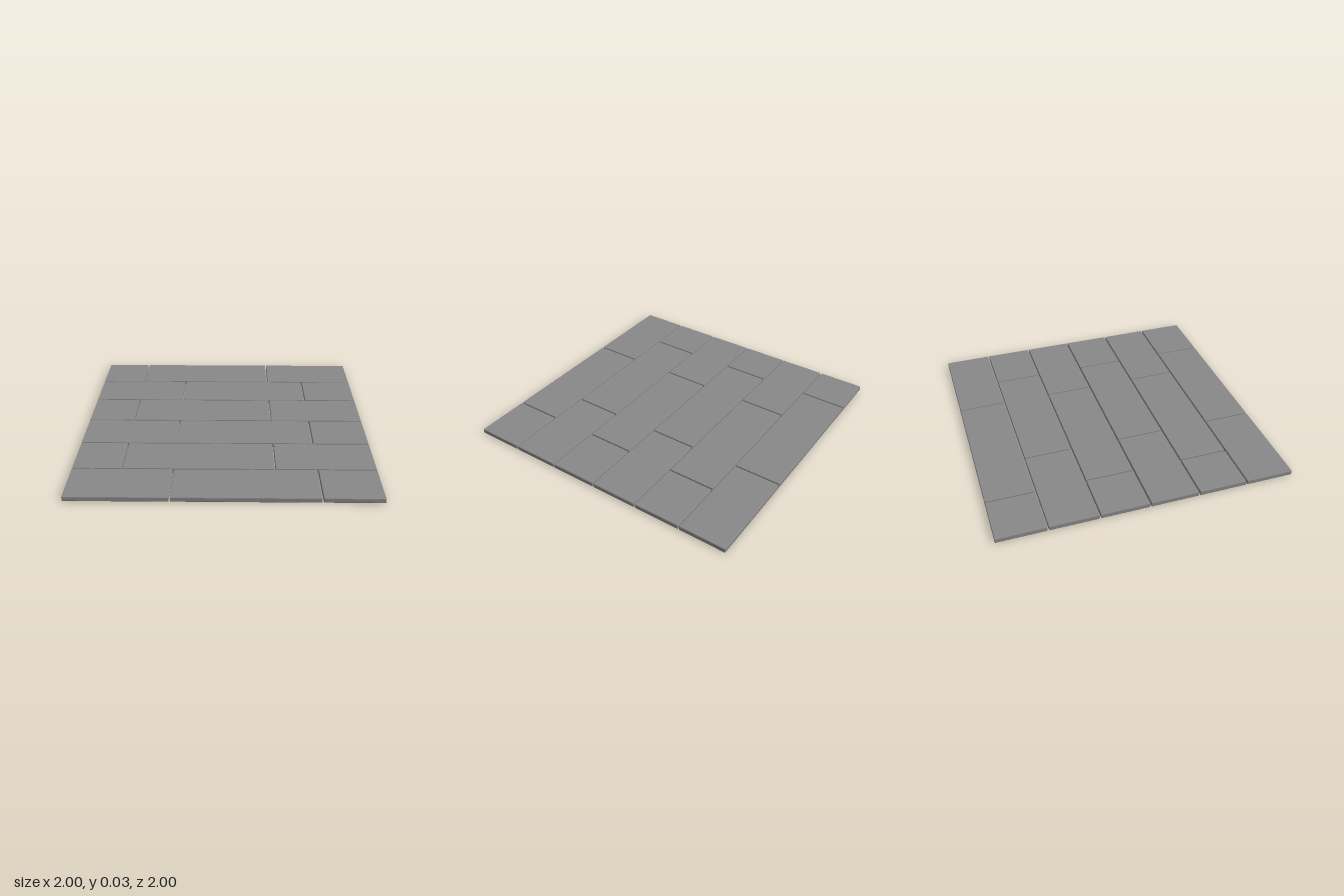
import * as THREE from 'three';
import { RoundedBoxGeometry } from 'three/addons/geometries/RoundedBoxGeometry.js';

const HEIGHT = 0.033, GAP = 0.009, ROWS = 6, BEVEL = 0.004;

export function createModel() {
  const model = new THREE.Group();
  model.name = 'pavingFloor';
  const stone = new THREE.MeshStandardMaterial({ color: 0x888888 });
  stone.name = 'grey stone';

  // One slab with narrow chamfered edges
  function addSlab(parent, x0, x1, depth) {
    const geometry = new RoundedBoxGeometry(x1 - x0, HEIGHT, depth, 1, BEVEL);
    geometry.computeVertexNormals(); // flat facets
    const slab = new THREE.Mesh(geometry, stone);
    slab.name = 'slab';
    slab.position.set((x0 + x1) / 2, HEIGHT / 2, 0);
    parent.add(slab);
  }

  // Staggered rows from back to front, alternating two joint layouts
  const joints = [[-0.672, 0.333], [-0.335, 0.612]];
  const depth = (2 - GAP * (ROWS - 1)) / ROWS;
  for (let i = 0; i < ROWS; i++) {
    const row = new THREE.Group();
    row.name = 'slabRow';
    row.position.z = -1 + depth / 2 + i * (depth + GAP);
    const [a, b] = joints[i % 2];
    addSlab(row, -1, a - GAP / 2, depth);
    addSlab(row, a + GAP / 2, b - GAP / 2, depth);
    addSlab(row, b + GAP / 2, 1, depth);
    model.add(row);
  }
  return model;
}
